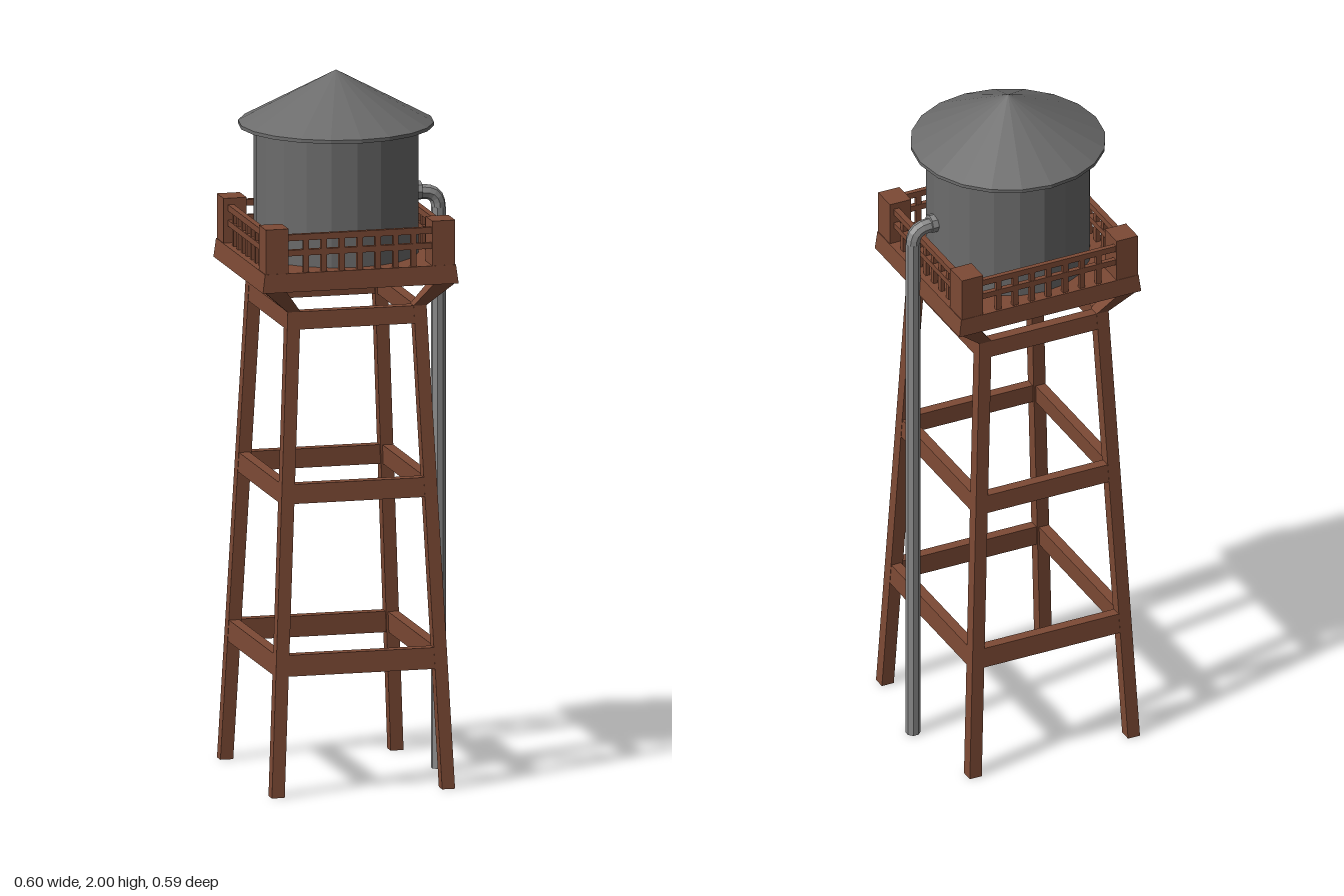
import * as THREE from 'three';

const wood = new THREE.MeshStandardMaterial({ color: 0x7d4a35, flatShading: true });
const metal = new THREE.MeshStandardMaterial({ color: 0x6c6c6c, flatShading: true });
const steel = new THREE.MeshStandardMaterial({ color: 0x8a8a8a, flatShading: true });

// Six-sided block between two level rectangles, each [y, xa, xb, za, zb]
function block(name, low, high) {
  const geo = new THREE.BoxGeometry(1, 1, 1);
  const p = geo.attributes.position;
  for (let i = 0; i < p.count; i++) {
    const [y, xa, xb, za, zb] = p.getY(i) < 0 ? low : high;
    const x = p.getX(i) < 0 ? Math.min(xa, xb) : Math.max(xa, xb);
    const z = p.getZ(i) < 0 ? Math.min(za, zb) : Math.max(za, zb);
    p.setXYZ(i, x, y, z);
  }
  geo.computeVertexNormals();
  const mesh = new THREE.Mesh(geo, wood);
  mesh.name = name;
  return mesh;
}

function part(name, geo, material, y = 0) {
  const mesh = new THREE.Mesh(geo, material);
  mesh.name = name;
  mesh.position.y = y;
  return mesh;
}

// Outer face of the leaning legs at height y
const LEG_TOP = 1.365;
const outX = (y) => THREE.MathUtils.lerp(0.264, 0.2, y / LEG_TOP);
const outZ = (y) => THREE.MathUtils.lerp(0.296, 0.228, y / LEG_TOP);
const LEG = 0.037;

export function createModel() {
  const model = new THREE.Group();
  model.name = 'waterTower';
  const tower = new THREE.Group();
  tower.name = 'tower';
  tower.position.x = -0.019;
  model.add(tower);

  // Legs, the brackets that flare out to the deck, and corner posts
  for (const sx of [-1, 1]) {
    for (const sz of [-1, 1]) {
      const leg = (y) => [y, sx * outX(y), sx * (outX(y) - LEG), sz * outZ(y), sz * (outZ(y) - LEG)];
      tower.add(block('leg', leg(0), leg(LEG_TOP)));
      tower.add(block('bracket', leg(LEG_TOP), [1.435, sx * 0.279, sx * 0.216, sz * 0.264, sz * 0.21]));
      const post = (y) => [y, sx * 0.273, sx * 0.207, sz * 0.264, sz * 0.19];
      tower.add(block('cornerPost', post(1.47), post(1.61)));
    }
  }

  // Three rings of cross beams, following the lean of the legs
  for (const [y0, y1] of [[0.34, 0.4], [0.825, 0.88], [1.315, 1.365]]) {
    for (const s of [-1, 1]) {
      const frontBeam = (y) => {
        const x = outX(y) - LEG * 0.6, z = outZ(y) - 0.001;
        return [y, -x, x, s * z, s * (z - 0.03)];
      };
      const sideBeam = (y) => {
        const x = outX(y) - 0.001, z = outZ(y) - LEG * 0.6;
        return [y, s * x, s * (x - 0.03), -z, z];
      };
      tower.add(block('crossBeam', frontBeam(y0), frontBeam(y1)));
      tower.add(block('crossBeam', sideBeam(y0), sideBeam(y1)));
    }
  }

  // Deck with slightly sloped sides
  tower.add(block('deck', [1.43, -0.282, 0.282, -0.267, 0.267], [1.483, -0.275, 0.275, -0.265, 0.265]));

  // Railings: two rails and a row of balusters on each side
  const bar = (x0, x1, y0, y1, z0, z1) => block('railing', [y0, x0, x1, z0, z1], [y1, x0, x1, z0, z1]);
  const levels = [[1.574, 1.592], [1.531, 1.548]];
  const COUNT = 7;
  for (const s of [-1, 1]) {
    for (const [y0, y1] of levels) {
      tower.add(bar(-0.21, 0.21, y0, y1, s * 0.246, s * 0.26));
      tower.add(bar(s * 0.244, s * 0.261, y0, y1, -0.195, 0.195));
    }
    for (let i = 1; i <= COUNT; i++) {
      const t = (2 * i) / (COUNT + 1) - 1;
      const x = t * 0.207, z = t * 0.19, h = 0.008;
      tower.add(bar(x - h, x + h, 1.48, 1.58, s * 0.247, s * 0.259));
      tower.add(bar(s * 0.246, s * 0.259, 1.48, 1.58, z - h, z + h));
    }
  }

  // Tank and conical roof with a thin rim
  tower.add(part('tank', new THREE.CylinderGeometry(0.23, 0.23, 0.37, 20), metal, 1.665));
  tower.add(part('roofRim', new THREE.CylinderGeometry(0.273, 0.273, 0.01, 20), metal, 1.849));
  tower.add(part('roof', new THREE.ConeGeometry(0.273, 0.146, 20), metal, 1.927));

  // Drain pipe: straight run, curved elbow and a collar at the tank
  const R = 0.021, X = 0.276, Y = 1.64, BEND = 0.045;
  const run = part('drainPipe', new THREE.CylinderGeometry(R, R, Y - BEND, 8), steel, (Y - BEND) / 2);
  run.position.x = X;
  run.rotation.y = Math.PI / 8;
  const path = new THREE.CurvePath();
  path.add(new THREE.LineCurve3(new THREE.Vector3(0.19, Y, 0), new THREE.Vector3(X - BEND, Y, 0)));
  path.add(new THREE.QuadraticBezierCurve3(
    new THREE.Vector3(X - BEND, Y, 0), new THREE.Vector3(X, Y, 0), new THREE.Vector3(X, Y - BEND, 0)));
  const elbow = part('pipeElbow', new THREE.TubeGeometry(path, 8, R, 8), steel);
  const collar = part('pipeCollar', new THREE.CylinderGeometry(0.027, 0.027, 0.02, 8), steel, Y + 0.004);
  collar.position.x = 0.215;
  collar.rotation.z = Math.PI / 2;
  model.add(run, elbow, collar);

  return model;
}
